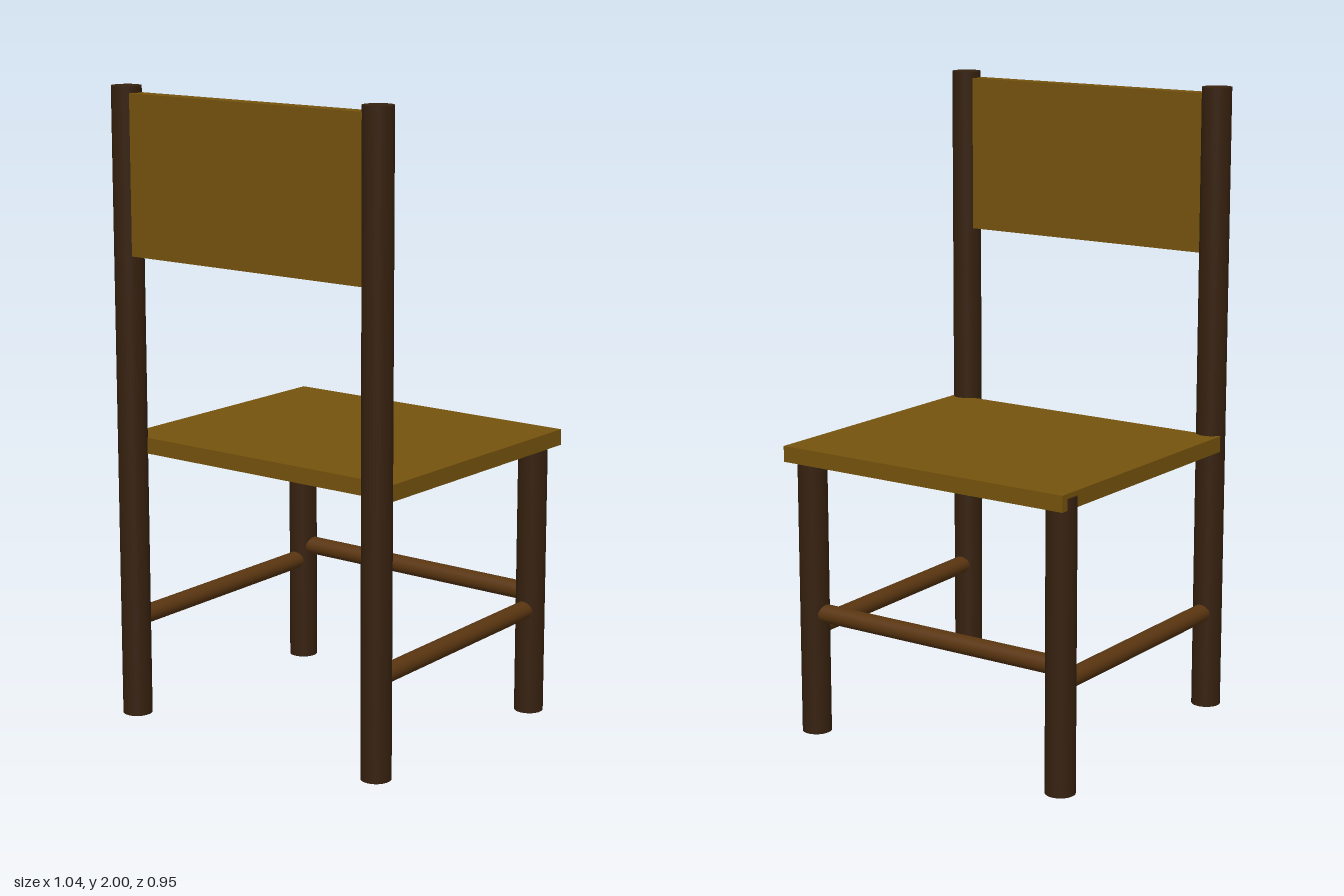
import * as THREE from 'three';

export function createModel() {
  const group = new THREE.Group();
  const material = (name, color) => {
    const m = new THREE.MeshStandardMaterial({ color });
    m.name = name;
    return m;
  };
  const panelWood = material('panel wood', 0x76530d);
  const legWood = material('dark leg wood', 0x36210f);
  const rungWood = material('rung wood', 0x593510);

  // Flat board given by its minimum and maximum corners
  function board(name, min, max) {
    const size = max.map((v, i) => v - min[i]);
    const mesh = new THREE.Mesh(new THREE.BoxGeometry(...size), panelWood);
    mesh.position.set(...min.map((v, i) => v + size[i] / 2));
    mesh.name = name;
    group.add(mesh);
  }

  // Round rod between two points
  function rod(name, from, to, radius, mat) {
    const a = new THREE.Vector3(...from);
    const b = new THREE.Vector3(...to);
    const dir = b.clone().sub(a);
    const mesh = new THREE.Mesh(new THREE.CylinderGeometry(radius, radius, dir.length(), 32), mat);
    mesh.position.copy(a).add(b).multiplyScalar(0.5);
    mesh.quaternion.setFromUnitVectors(new THREE.Vector3(0, 1, 0), dir.normalize());
    mesh.name = name;
    group.add(mesh);
  }

  // Seat and backrest
  board('seat', [-0.515, 0.87, -0.475], [0.515, 0.92, 0.405]);
  board('backrest', [-0.45, 1.49, 0.405], [0.45, 1.98, 0.455]);

  // Tall posts, short legs and the rungs joining them on each side
  const sides = [
    { side: 'right', post: -0.467, leg: -0.477 },
    { side: 'left', post: 0.475, leg: 0.446 },
  ];
  for (const { side, post, leg } of sides) {
    rod(side + 'Post', [post, 0.03, 0.427], [post, 2, 0.427], 0.046, legWood);
    rod(side + 'Leg', [leg, 0, -0.422], [leg, 0.905, -0.422], 0.046, legWood);
    rod(side + 'Rung', [post, 0.34, 0.427], [leg, 0.34, -0.422], 0.029, rungWood);
  }

  // Cross rung between the short legs
  rod('crossRung', [-0.477, 0.39, -0.422], [0.446, 0.39, -0.422], 0.029, rungWood);

  return group;
}
